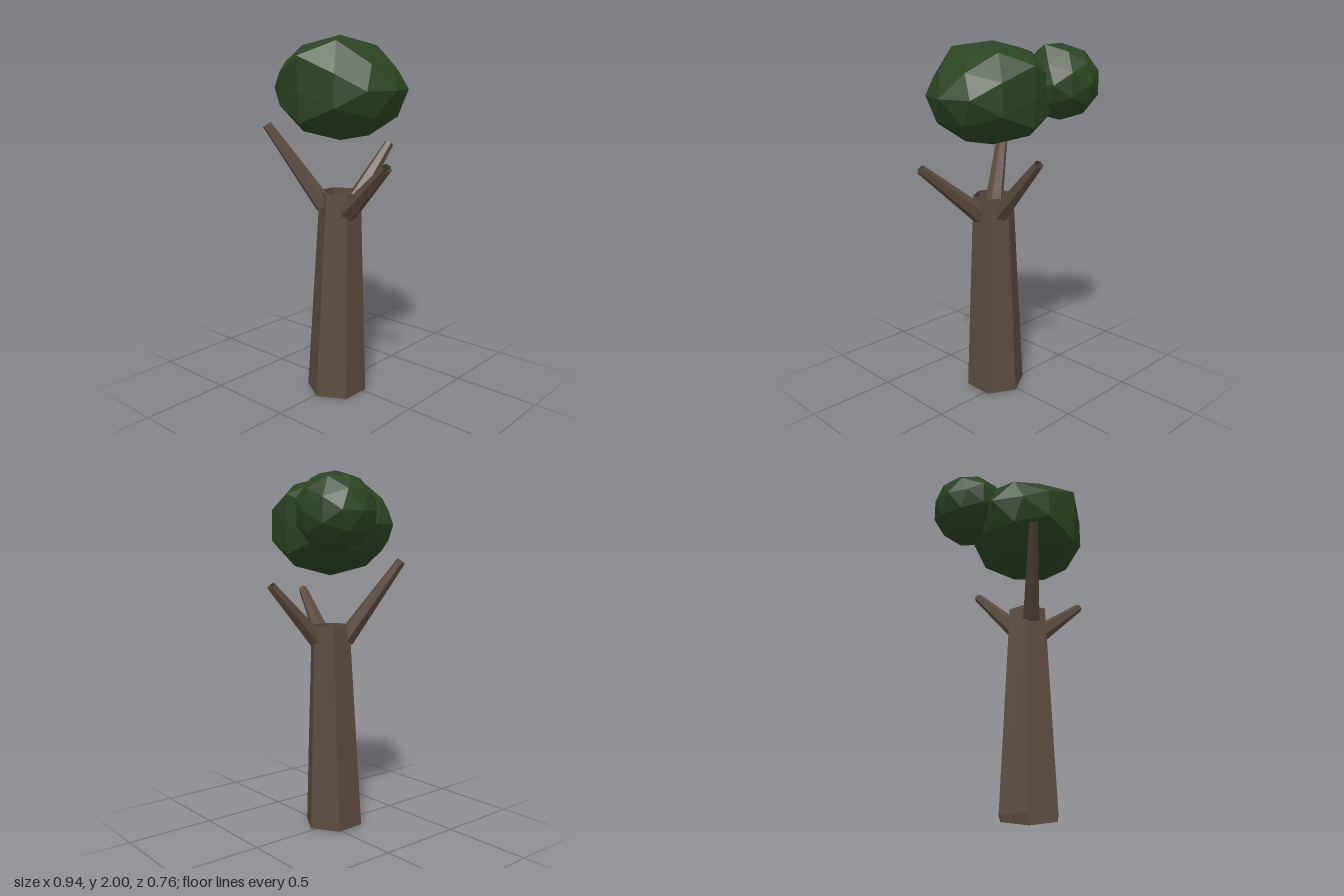
import * as THREE from 'three';

const bark = new THREE.MeshStandardMaterial({ color: 0x5a4a3c, flatShading: true, side: THREE.DoubleSide });
const leaf = new THREE.MeshStandardMaterial({ color: 0x2a4421, flatShading: true });

// Open six-sided tapered tube running between two points
function limb(name, from, to, r0, r1) {
  const a = new THREE.Vector3(...from);
  const b = new THREE.Vector3(...to);
  const dir = b.clone().sub(a);
  const geo = new THREE.CylinderGeometry(r1, r0, dir.length(), 6, 1, true);
  const mesh = new THREE.Mesh(geo, bark);
  mesh.name = name;
  mesh.position.copy(a).add(b).multiplyScalar(0.5);
  mesh.quaternion.setFromUnitVectors(new THREE.Vector3(0, 1, 0), dir.normalize());
  return mesh;
}

// Faceted leaf clump; each bump [x, y, z, scale] moves the vertex in that direction in or out
function clump(name, center, radii, bumps) {
  const geo = new THREE.IcosahedronGeometry(1, 1);
  const pos = geo.attributes.position;
  const v = new THREE.Vector3();
  const rules = bumps.map(([x, y, z, s]) => ({ dir: new THREE.Vector3(x, y, z).normalize(), s }));
  for (let i = 0; i < pos.count; i++) {
    v.fromBufferAttribute(pos, i);
    const rule = rules.find((r) => r.dir.dot(v) > 0.98);
    if (rule) v.multiplyScalar(rule.s);
    pos.setXYZ(i, v.x, v.y, v.z);
  }
  geo.scale(...radii);
  geo.computeVertexNormals();
  const mesh = new THREE.Mesh(geo, leaf);
  mesh.name = name;
  mesh.position.set(...center);
  return mesh;
}

export function createModel() {
  const tree = new THREE.Group();
  tree.name = 'tree';

  // Trunk, leaning slightly
  tree.add(limb('trunk', [0.02, 0.005, 0.06], [0.04, 1.17, 0.05], 0.17, 0.115));

  // Branches
  tree.add(limb('rightBranch', [-0.02, 1.09, 0.11], [-0.282, 1.53, 0.285], 0.053, 0.026));
  tree.add(limb('leftBranch', [0.115, 1.06, 0.075], [0.452, 1.355, 0.17], 0.053, 0.026));
  tree.add(limb('backBranch', [0.06, 1.08, -0.025], [0.083, 1.4, -0.328], 0.053, 0.026));

  // Foliage
  tree.add(clump('mainFoliage', [0.04, 1.725, 0.05], [0.38, 0.275, 0.325], [
    [0, 0.526, 0.851, 1.18], [0, -0.526, 0.851, 1.13],
    [0, 0.526, -0.851, 1.1], [0, -0.526, -0.851, 1.08],
    [0.526, 0.851, 0, 0.9],
    [0.309, 0.809, 0.5, 1.1], [0.809, 0.5, -0.309, 0.92], [0.809, 0.5, 0.309, 0.94],
    [0, 0, -1, 0.96],
  ]));
  tree.add(clump('sideFoliage', [-0.26, 1.78, -0.165], [0.215, 0.205, 0.215], [
    [0.526, 0.851, 0, 1.15],
  ]));
  return tree;
}
